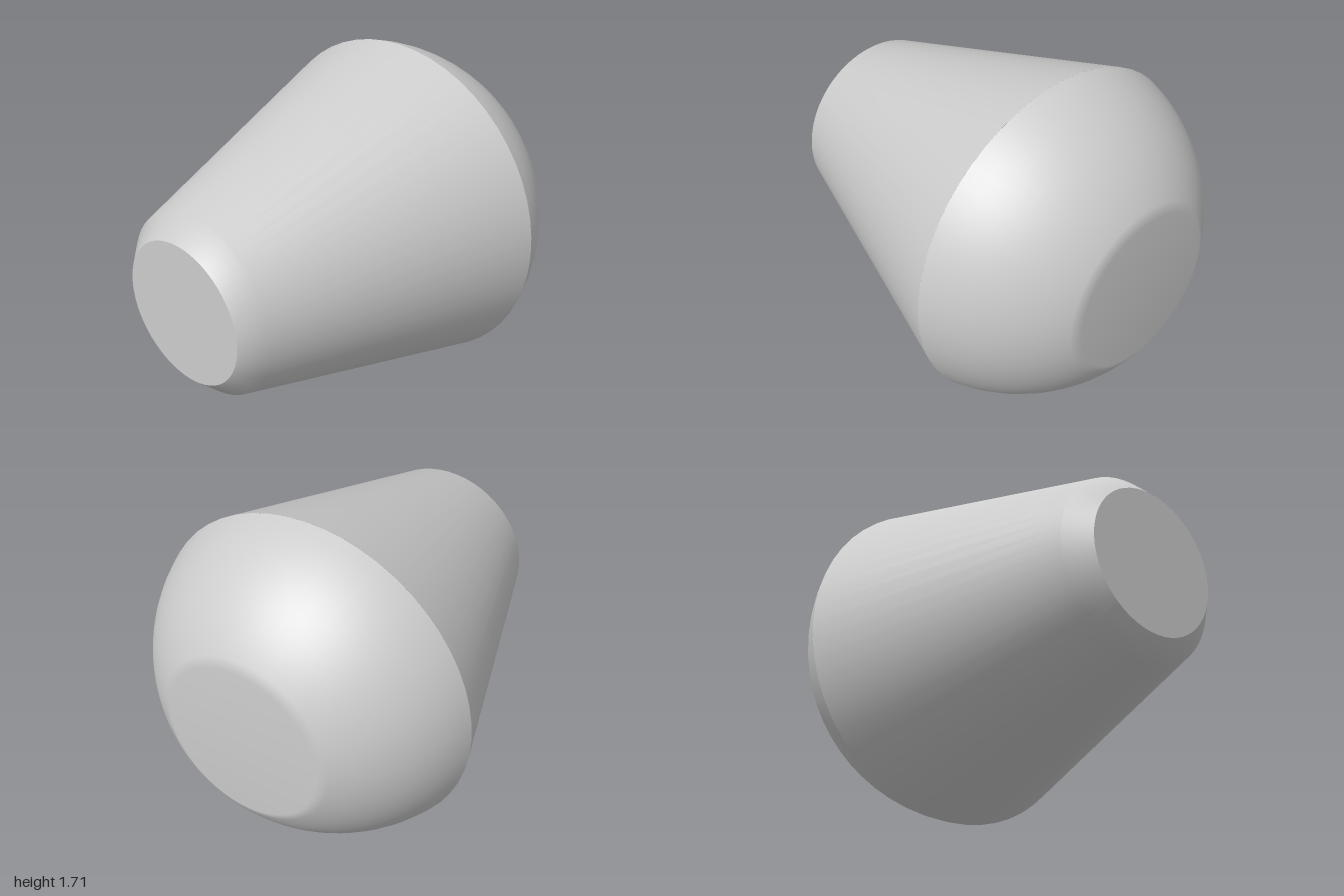
import * as THREE from 'three';

const SIDES = 56;
const AXIS_Y = 0.855;

// Revolves [radius, z] points, listed back to front, about the z axis
function revolve(name, profile, material) {
  const points = profile.map(([r, z]) => new THREE.Vector2(r, z));
  const geometry = new THREE.LatheGeometry(points, SIDES);
  geometry.rotateX(Math.PI / 2);
  const mesh = new THREE.Mesh(geometry, material);
  mesh.name = name;
  mesh.position.y = AXIS_Y;
  return mesh;
}

export function createModel() {
  const group = new THREE.Group();
  group.name = 'taperedKnob';
  const grey = new THREE.MeshStandardMaterial({ color: 0xcccccc });
  grey.name = 'light grey';

  // Rear dome: flat end blending into a spherical zone
  const centreZ = -0.2, radius = 0.892, rimZ = -0.455, steps = 14;
  const start = Math.acos((1 + centreZ) / radius);
  const end = Math.acos((centreZ - rimZ) / radius);
  const dome = [[0, -1]];
  for (let i = 0; i <= steps; i++) {
    const a = start + (end - start) * i / steps;
    dome.push([radius * Math.sin(a), centreZ - radius * Math.cos(a)]);
  }
  group.add(revolve('rearDome', dome, grey));

  // Tapered body with a softly shaded chamfer at the front
  group.add(revolve('taperedBody', [[0.855, rimZ], [0.452, 0.9], [0.353, 1]], grey));

  // Flat front cap
  const cap = new THREE.Mesh(new THREE.CircleGeometry(0.353, SIDES), grey);
  cap.name = 'frontCap';
  cap.position.set(0, AXIS_Y, 1);
  group.add(cap);

  return group;
}
